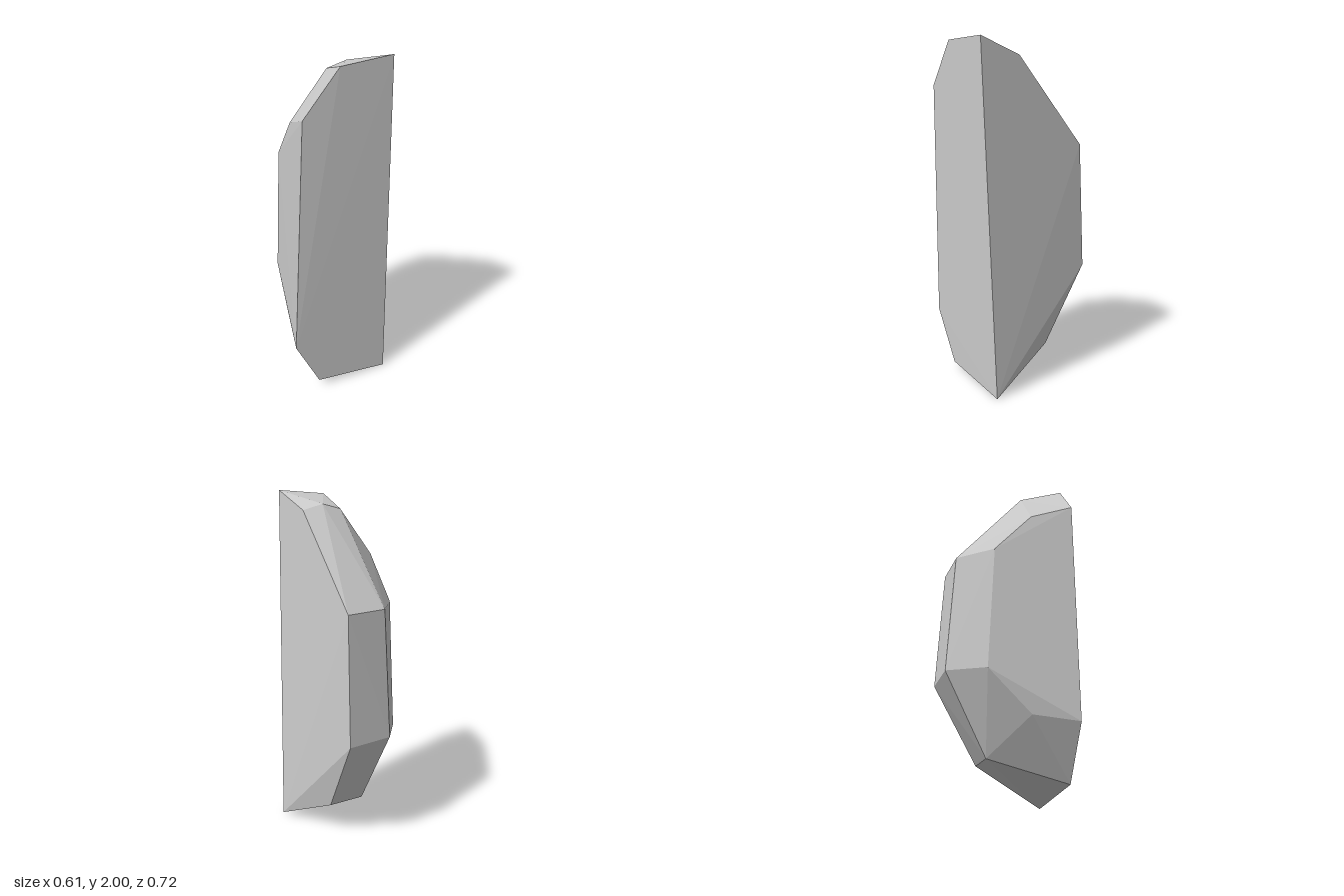
import * as THREE from 'three';
import { ConvexGeometry } from 'three/addons/geometries/ConvexGeometry.js';

// A faceted standing stone with a flat-cut front, described by three outlines from front to back.
export function createModel() {
  // flat front face
  const frontOutline = [
    [0.245, 2.0, 0.35], [-0.06, 1.975, 0.36], [-0.26, 1.725, 0.35],
    [-0.305, 0.35, 0.33], [-0.15, 0.05, 0.315], [0.305, 0, 0.3],
  ];
  // chamfered shoulders and foot, with a small ridge on top
  const middleOutline = [
    [0.235, 1.9, 0.105], [0.11, 1.93, 0.1], [-0.01, 1.9, 0.105],
    [-0.22, 1.635, 0.1], [-0.24, 0.385, 0.08], [-0.015, 0.19, -0.11], [0.21, 0.2, -0.11],
  ];
  // narrow back
  const backOutline = [
    [0.23, 1.39, -0.325], [-0.02, 1.39, -0.31], [-0.2, 1.385, -0.12],
    [-0.212, 0.635, -0.157], [-0.035, 0.66, -0.353], [0.24, 0.66, -0.36],
  ];
  const corners = [...frontOutline, ...middleOutline, ...backOutline]
    .map((p) => new THREE.Vector3(...p));

  const stone = new THREE.Mesh(
    new ConvexGeometry(corners),
    new THREE.MeshStandardMaterial({ color: 0xcccccc, flatShading: true })
  );
  stone.name = 'stone';

  const group = new THREE.Group();
  group.name = 'standingStone';
  group.add(stone);
  return group;
}
